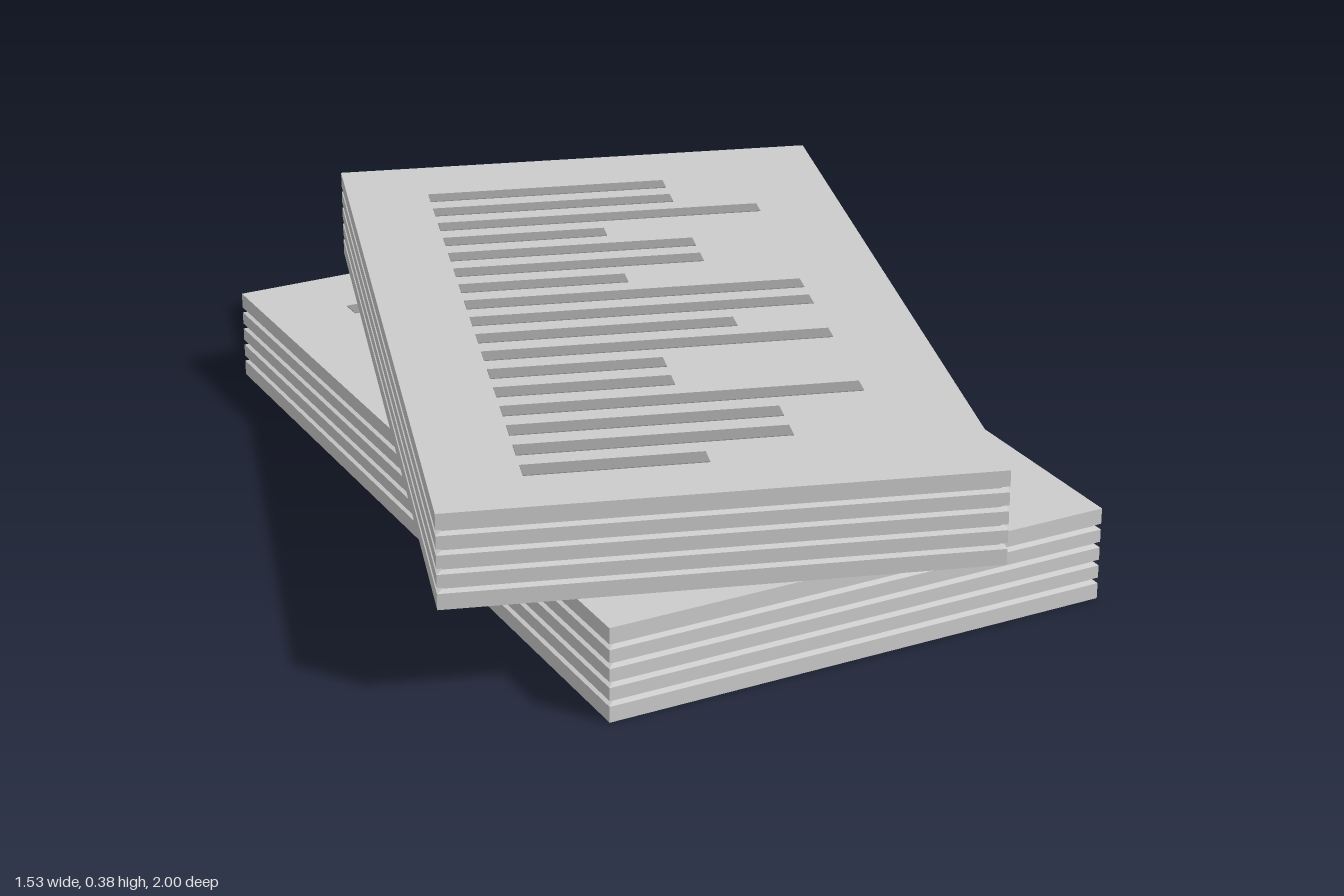
import * as THREE from 'three';

const W = 1.05, D = 1.762, SHEET = 0.0382, COUNT = 5, GROOVE = 0.012;
const H = SHEET * COUNT;

// Block of sheets: rectangular cross-sections, pinched inward between sheets
function stackGeometry() {
  const levels = [[0, 0]];
  for (let i = 1; i < COUNT; i++) {
    const y = i * SHEET;
    levels.push([y - 0.006, 0], [y - 0.002, GROOVE], [y + 0.002, GROOVE], [y + 0.006, 0]);
  }
  levels.push([H, 0]);
  const rings = levels.map(([y, inset]) => {
    const x = W / 2 - inset, z = D / 2 - inset;
    return [[-x, y, z], [x, y, z], [x, y, -z], [-x, y, -z]];
  });
  const pos = [];
  const quad = (a, b, c, d) => pos.push(...a, ...b, ...c, ...a, ...c, ...d);
  for (let i = 0; i < rings.length - 1; i++) {
    for (let j = 0; j < 4; j++) {
      const k = (j + 1) % 4;
      quad(rings[i][j], rings[i][k], rings[i + 1][k], rings[i + 1][j]);
    }
  }
  quad(...rings[rings.length - 1]);
  quad(...[...rings[0]].reverse());
  const g = new THREE.BufferGeometry();
  g.setAttribute('position', new THREE.Float32BufferAttribute(pos, 3));
  g.computeVertexNormals();
  return g;
}

export function createModel() {
  const paper = new THREE.MeshStandardMaterial({ color: 0xcccccc, flatShading: true });
  const ink = new THREE.MeshStandardMaterial({ color: 0x949494 });
  const geometry = stackGeometry();
  // Three line lengths, listed from the back of the page to the front
  const lengths = [0.345, 0.52, 0.695];
  const pattern = [1, 1, 2, 0, 1, 1, 0, 2, 2, 1, 2, 0, 0, 2, 1, 1, 0];

  function makeStack(name, y, angle) {
    const stack = new THREE.Group();
    stack.name = name;
    const sheets = new THREE.Mesh(geometry, paper);
    sheets.name = 'sheets';
    stack.add(sheets);
    // Thin printed bars, all starting at the left margin
    pattern.forEach((p, i) => {
      const len = lengths[p];
      const line = new THREE.Mesh(new THREE.BoxGeometry(len, 0.002, 0.045), ink);
      line.name = 'printedLine';
      line.position.set(-0.35 + len / 2, H + 0.0005, -0.686 + i * 0.0885);
      stack.add(line);
    });
    stack.position.y = y;
    stack.rotation.y = angle;
    return stack;
  }

  const model = new THREE.Group();
  model.name = 'paperStacks';
  model.add(makeStack('lowerStack', 0, 0));
  model.add(makeStack('upperStack', H + 0.0015, -0.308));
  return model;
}
